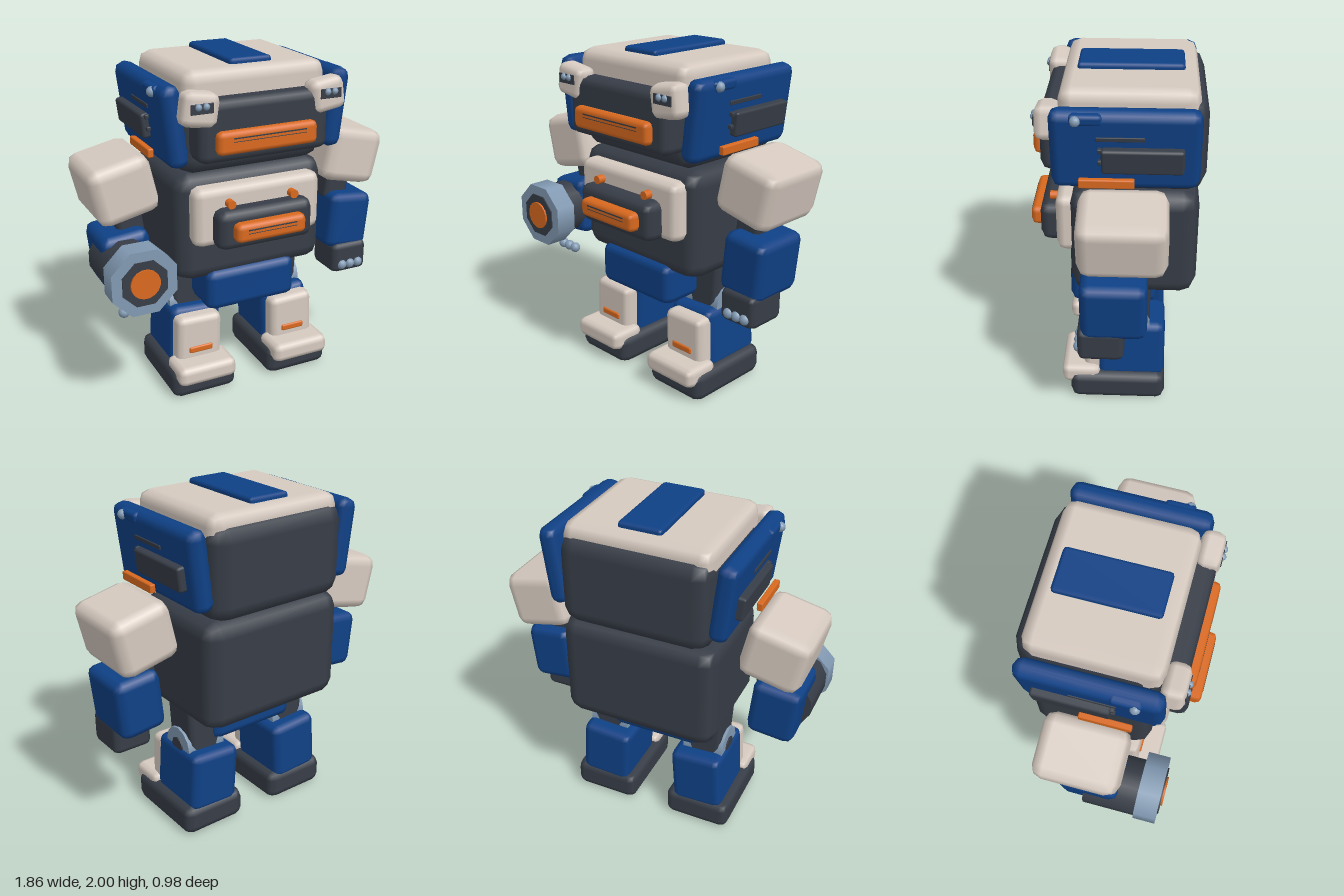
import * as THREE from 'three';
import { RoundedBoxGeometry } from 'three/addons/geometries/RoundedBoxGeometry.js';

const material = (name, color) => {
  const m = new THREE.MeshStandardMaterial({ color });
  m.name = name;
  return m;
};

export function createModel() {
  const cream = material('cream', 0xd6cac0);
  const blue = material('blue', 0x0f4186);
  const dark = material('charcoal', 0x373d47);
  const orange = material('orange', 0xd9691f);
  const steel = material('steel', 0x829ab3);
  const root = new THREE.Group();
  root.name = 'robot';

  const group = (name, parent = root, pos = [0, 0, 0], rotZ = 0) => {
    const g = new THREE.Group();
    g.name = name;
    g.position.set(...pos);
    g.rotation.z = rotZ;
    parent.add(g);
    return g;
  };
  const add = (parent, name, geometry, mat, pos, rotZ = 0) => {
    const m = new THREE.Mesh(geometry, mat);
    m.name = name;
    m.position.set(...pos);
    m.rotation.z = rotZ;
    parent.add(m);
    return m;
  };
  // Bevelled box given by its centre and full size
  const box = (parent, name, mat, pos, size, bevel = 0.05, rotZ = 0) =>
    add(parent, name, new RoundedBoxGeometry(...size, 1, Math.min(bevel, Math.min(...size) * 0.48)), mat, pos, rotZ);
  // Faceted disc along x or z
  const disc = (parent, name, mat, pos, r, len, axis, sides = 16) => {
    const g = new THREE.CylinderGeometry(r, r, len, sides);
    if (axis === 'x') g.rotateZ(Math.PI / 2);
    else g.rotateY(Math.PI / sides).rotateX(Math.PI / 2);
    return add(parent, name, g, mat, pos);
  };
  const ball = (parent, name, mat, pos, r) => add(parent, name, new THREE.SphereGeometry(r, 12, 8), mat, pos);

  // Torso with chest and belly plates
  const torso = group('torso');
  box(torso, 'torsoBody', dark, [0, 1.06, -0.105], [0.93, 0.645, 0.71], 0.09);
  box(torso, 'chestPlate', cream, [0, 1.152, 0.25], [0.79, 0.345, 0.16], 0.05);
  box(torso, 'bellyPlate', dark, [0, 1.097, 0.34], [0.585, 0.23, 0.18], 0.05);
  box(torso, 'bellyVent', orange, [0, 1.098, 0.44], [0.43, 0.11, 0.1], 0.03);
  box(torso, 'bellySlot', dark, [0, 1.12, 0.489], [0.3, 0.008, 0.006], 0.001);
  box(torso, 'bellySlot', dark, [0, 1.1, 0.489], [0.3, 0.004, 0.006], 0.001);
  for (const s of [-1, 1]) disc(torso, 'chestButton', orange, [0.195 * s, 1.235, 0.345], 0.025, 0.06, 'z');
  box(torso, 'pelvis', blue, [-0.01, 0.665, 0.015], [0.57, 0.25, 0.51], 0.05);

  // Head with cap, face plate and mouth
  const head = group('head');
  box(head, 'skull', dark, [0, 1.65, -0.11], [0.88, 0.54, 0.76], 0.1);
  box(head, 'cap', cream, [0, 1.85, -0.075], [0.86, 0.24, 0.74], 0.07);
  box(head, 'capStripe', blue, [0, 1.965, -0.077], [0.255, 0.07, 0.575], 0.02);
  box(head, 'facePlate', dark, [0, 1.657, 0.3], [0.78, 0.345, 0.2], 0.05);
  box(head, 'mouth', orange, [-0.005, 1.605, 0.39], [0.6, 0.13, 0.11], 0.03);
  box(head, 'mouthSlot', dark, [0, 1.634, 0.443], [0.44, 0.008, 0.006], 0.001);
  box(head, 'mouthSlot', dark, [0, 1.615, 0.443], [0.44, 0.004, 0.006], 0.001);

  for (const s of [-1, 1]) {
    const side = s > 0 ? 'left' : 'right';

    // Tilted side panel with vent, slot and bolt
    const ear = group(side + 'SidePanel', root, [0.49 * s, 1.685, -0.06], -0.12 * s);
    box(ear, 'panel', blue, [0, 0, 0], [0.115, 0.455, 0.78], 0.05);
    box(ear, 'panelHinge', blue, [0.035 * s, 0.19, 0.2], [0.06, 0.06, 0.17], 0.02);
    box(ear, 'vent', dark, [0.065 * s, -0.03, -0.09], [0.07, 0.14, 0.425], 0.015);
    for (const y of [0.025, -0.045]) box(ear, 'ventClip', dark, [0.06 * s, y, 0.13], [0.04, 0.025, 0.025], 0.006);
    box(ear, 'slot', dark, [0.058 * s, 0.087, 0.025], [0.012, 0.025, 0.25], 0.004);
    ball(ear, 'bolt', steel, [0.06 * s, 0.19, 0.25], 0.028);
    box(root, side + 'ShoulderStrip', orange, [0.582 * s, 1.528, 0.035], [0.035, 0.05, 0.29], 0.008);

    // Eye pod
    const pod = group(side + 'EyePod', root, [0.38 * s, 1.79, 0.35], 0.15 * s);
    box(pod, 'podShell', cream, [0, 0, 0], [0.21, 0.19, 0.13], 0.045);
    const eyes = group(side + 'Eyes', root, [0.383 * s, 1.805, 0.415]);
    box(eyes, 'eyePlate', dark, [0, 0, 0], [0.13, 0.055, 0.009], 0.003);
    for (const x of [-0.022, 0.022]) ball(eyes, 'lens', steel, [x, 0.01, 0], 0.02);

    // Arm
    const arm = group(side + 'Arm');
    box(arm, 'upperArm', cream, [0.728 * s, 1.32, -0.055], [0.365, 0.34, 0.47], 0.065, -0.22 * s);
    box(arm, 'elbow', dark, [0.68 * s, 1.12, -0.03], [0.16, 0.2, 0.2], 0.03, -0.15 * s);
    box(arm, 'forearm', blue, [0.722 * s, 0.897, -0.01], [0.285, 0.355, 0.36], 0.05, -0.1 * s);
    for (const x of [0.664, 0.722, 0.78]) ball(arm, 'fingertip', steel, [x * s, 0.62, 0.18], 0.032);
    if (s > 0) {
      box(arm, 'hand', dark, [0.72, 0.662, 0.06], [0.24, 0.195, 0.255], 0.035);
    } else {
      // Cannon on the right forearm
      disc(arm, 'cannonBarrel', dark, [-0.742, 0.89, 0.14], 0.165, 0.34, 'z', 12);
      disc(arm, 'cannonRing', steel, [-0.727, 0.89, 0.34], 0.2, 0.13, 'z', 8);
      disc(arm, 'cannonMuzzle', dark, [-0.727, 0.89, 0.36], 0.138, 0.105, 'z', 8);
      disc(arm, 'cannonCore', orange, [-0.727, 0.89, 0.375], 0.085, 0.095, 'z', 16);
    }

    // Leg
    const leg = group(side + 'Leg');
    box(leg, 'thigh', dark, [0.325 * s, 0.64, -0.09], [0.2, 0.42, 0.23], 0.03, -0.06 * s);
    disc(leg, 'kneeJoint', steel, [0.315 * s, 0.51, -0.09], 0.115, 0.25, 'x', 12);
    disc(leg, 'kneeHub', dark, [0.315 * s, 0.51, -0.09], 0.052, 0.265, 'x', 8);
    box(leg, 'shin', blue, [0.307 * s, 0.32, -0.095], [0.32, 0.37, 0.4], 0.045, 0.06 * s);
    box(leg, 'shinGuard', cream, [0.313 * s, 0.32, 0.12], [0.285, 0.315, 0.13], 0.04, 0.03 * s);
    box(leg, 'shinLight', orange, [0.313 * s, 0.27, 0.18], [0.15, 0.04, 0.03], 0.01);
    box(leg, 'foot', dark, [0.315 * s, 0.09, -0.018], [0.41, 0.18, 0.565], 0.05);
    box(leg, 'toeCap', cream, [0.315 * s, 0.16, 0.2], [0.37, 0.12, 0.23], 0.04);
  }
  return root;
}
